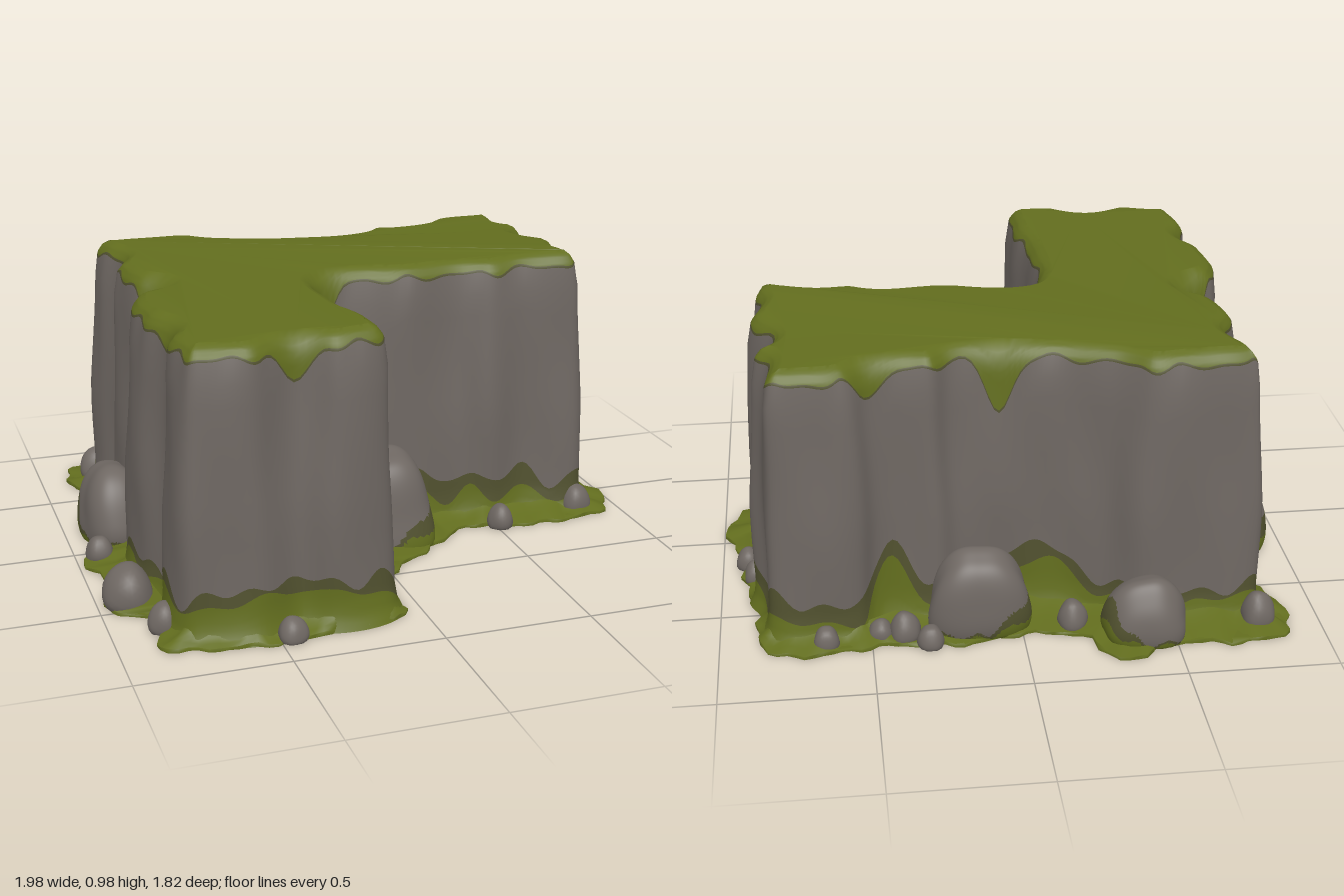
import * as THREE from 'three';
import { mergeVertices } from 'three/addons/utils/BufferGeometryUtils.js';

const rock = new THREE.MeshStandardMaterial({ name: 'rock grey', color: 0x6e6762 });
const grass = new THREE.MeshStandardMaterial({ name: 'grass green', color: 0x626d1e });
const moss = new THREE.MeshStandardMaterial({ name: 'dark moss', color: 0x51512f });
const PALETTE = [rock, grass, moss];

// Plan outlines as x, z pairs, clockwise seen from above
const CLIFF = [-.79, -.67, -.6, -.69, -.4, -.70, -.28, -.62, -.15, -.57, .05, -.54, .2, -.55, .27, -.60, .38, -.59,
  .47, -.61, .53, -.67, .66, -.69, .82, -.66, .84, -.5, .88, -.41, .82, -.31, .89, -.15, .86, -.02, .88, .07, .84, .15,
  .62, .13, .5, .15, .38, .11, .2, .12, .04, .09, -.09, .09, -.12, .16, -.12, .35, -.11, .42, -.08, .6, -.10, .78,
  -.15, .82, -.3, .84, -.42, .79, -.56, .84, -.68, .82, -.78, .79, -.81, .6, -.77, .48, -.83, .35, -.84, .18,
  -.79, .05, -.67, -.02, -.75, -.1, -.79, -.3, -.74, -.42, -.79, -.55];
const SKIRT = [-.88, -.80, -.72, -.85, -.5, -.83, -.3, -.91, -.2, -.76, -.02, -.72, .2, -.76, .45, -.74, .6, -.76,
  .78, -.77, .87, -.68, .87, -.5, .92, -.3, .93, -.1, .99, .02, .94, .2, .75, .25, .55, .24, .4, .2, .2, .34, .0, .5,
  -.05, .65, -.08, .82, -.3, .85, -.5, .88, -.7, .86, -.87, .80, -.84, .6, -.98, .47, -.91, .3, -.98, .1, -.9, -.04,
  -.87, -.2, -.8, -.45, -.88, -.6];

// Grass hanging from the rim and moss climbing the foot: x, z, amount, width
const HANGS = [[-.1, .1, .22, .035], [-.42, .79, .1, .035], [-.67, -.02, .25, .05], [-.77, .48, .06, .04],
  [.06, -.54, .18, .04], [.47, -.61, .07, .04]];
const CLIMBS = [[-.11, .4, .18, .05], [-.09, .09, .2, .05], [.24, .12, .03, .05], [.43, .13, .07, .04],
  [.84, -.27, .1, .03], [-.42, .79, .04, .05], [-.67, -.02, .2, .05], [-.76, -.42, .08, .06],
  [.42, -.6, .15, .05], [-.1, -.56, .15, .07]];
const LIFTS = [[-.15, .72, .018, .2], [.82, .05, .018, .15], [-.65, -.55, .01, .2]];

const bumps = (list, x, z) => list.reduce((sum, [bx, bz, amount, width]) =>
  sum + amount * Math.exp(-((x - bx) ** 2 + (z - bz) ** 2) / (2 * width * width)), 0);
const wave = (s, n, phase = 0) => Math.sin(s * Math.PI * 2 * n + phase);
const { smoothstep, lerp } = THREE.MathUtils;

function outline(flat, count) {
  const pts = [];
  for (let i = 0; i < flat.length; i += 2) pts.push(new THREE.Vector3(flat[i], 0, flat[i + 1]));
  return new THREE.CatmullRomCurve3(pts, true, 'centripetal').getSpacedPoints(count).slice(0, count);
}

// Outward horizontal normals, smoothed over a few neighbours
function outward(pts, span) {
  const n = pts.length;
  return pts.map((_, i) => {
    const t = pts[(i + span) % n].clone().sub(pts[(i - span + n) % n]).normalize();
    return new THREE.Vector3(t.z, 0, -t.x);
  });
}

// Triangles closing a ring, facing up or down
function capIndices(ring, offset, up) {
  const flat = ring.map(p => new THREE.Vector2(p.x, p.z));
  return THREE.ShapeUtils.triangulateShape(flat, []).flatMap(([a, b, c]) => {
    const area = (flat[b].y - flat[a].y) * (flat[c].x - flat[a].x) - (flat[b].x - flat[a].x) * (flat[c].y - flat[a].y);
    return (area > 0) === up ? [a + offset, b + offset, c + offset] : [a + offset, c + offset, b + offset];
  });
}

// Skin over stacked rings with a palette index per band; caps take a palette index or null
function loft(rings, bands, topColour = null, bottomColour = null) {
  const n = rings[0].length, index = [], geo = new THREE.BufferGeometry();
  const positions = rings.flat().flatMap(p => [p.x, p.y, p.z]);
  bands.forEach((m, j) => {
    const start = index.length;
    for (let i = 0; i < n; i++) {
      const a = j * n + i, b = j * n + (i + 1) % n;
      index.push(a, a + n, b, b, a + n, b + n);
    }
    geo.addGroup(start, index.length - start, m);
  });
  const close = (ring, offset, up, m) => {
    const tris = capIndices(ring, offset, up);
    geo.addGroup(index.length, tris.length, m);
    index.push(...tris);
  };
  if (topColour !== null) close(rings.at(-1), (rings.length - 1) * n, true, topColour);
  if (bottomColour !== null) {
    const offset = positions.length / 3;
    positions.push(...rings[0].flatMap(p => [p.x, p.y, p.z]));
    close(rings[0], offset, false, bottomColour);
  }
  geo.setAttribute('position', new THREE.Float32BufferAttribute(positions, 3));
  geo.setIndex(index);
  geo.computeVertexNormals();
  return geo;
}

// How far the wall leans inward at each height
const PROFILE = [[0, -.03], [.04, -.01], [.1, 0], [.4, .003], [.55, .012], [.88, .03], [.92, .044], [.945, .064], [.958, .09]];
function inset(y) {
  for (let k = 1; k < PROFILE.length; k++) {
    const [y0, d0] = PROFILE[k - 1], [y1, d1] = PROFILE[k];
    if (y <= y1) return d0 + (d1 - d0) * (y - y0) / (y1 - y0);
  }
  return PROFILE.at(-1)[1];
}

function cliffGeometry(pts) {
  const n = pts.length, normals = outward(pts, 4);
  // Steps of each colour band: green foot, dark moss, rock, moss fringe, green cap
  const steps = [5, 3, 10, 1, 7], colours = [1, 2, 0, 2, 1];
  const rings = [], bands = [];
  const levels = pts.map((p, i) => {
    const s = i / n;
    const lush = smoothstep(p.z, .4, .7) * (1 - smoothstep(p.x, -.3, -.12));
    const foot = Math.max(.04, .075 + .05 * lush + .022 * wave(s, 17) + .018 * wave(s, 31, 1) + bumps(CLIMBS, p.x, p.z));
    const dark = foot + .035 + .035 * smoothstep(p.x, -.3, 0) + .016 * wave(s, 23, 2) + .014 * wave(s, 43, 1);
    const rim = .918 + .008 * wave(s, 29) + .006 * wave(s, 47, 1) - bumps(HANGS, p.x, p.z);
    return [0, foot, dark, rim - .008, rim, .958];
  });
  steps.forEach((count, band) => {
    for (let k = band ? 1 : 0; k <= count; k++) {
      rings.push(pts.map((p, i) => {
        const s = i / n, y = lerp(levels[i][band], levels[i][band + 1], k / count);
        const rough = .005 * wave(s, 13, y * 6) + .002 * wave(s, 29, -y * 9);
        const q = p.clone().addScaledVector(normals[i], rough - inset(y));
        q.y = y + bumps(LIFTS, p.x, p.z) * smoothstep(y, .7, .958);
        return q;
      }));
      if (k) bands.push(colours[band]);
    }
  });
  return loft(rings, bands, 1);
}

// Ragged ground slab and the turf rising from its edge to the foot of the wall
function groundGeometries(wall) {
  const pts = outline(SKIRT, 220), normals = outward(pts, 3), n = pts.length;
  const rim = pts.map((p, i) => p.clone().addScaledVector(normals[i], .009 * wave(i / n, 41) + .006 * wave(i / n, 67, 1)));
  const near = rim.map(p => wall.reduce((best, w) => w.distanceToSquared(p) < best.distanceToSquared(p) ? w : best));
  const ring = (t, height, rough) => rim.map((p, i) => {
    const q = p.clone().lerp(near[i], t);
    q.y = height + rough * (wave(i / n, 29) + wave(i / n, 53, 2));
    return q;
  });
  const edge = ring(0, .012, .002);
  return {
    groundSlab: loft([ring(0, 0, 0), edge], [1], 1, 2),
    grassSkirt: loft([edge, ring(.35, .022, .005), ring(.7, .032, .006), ring(1, .05, .004)], [1, 1, 1]),
  };
}

// Blocky rounded stone, squared off by a power rule; mossAngle is the side where moss climbs
function boulder(name, x, z, rx, rz, height, square, seed, mossAngle = null) {
  let geo = new THREE.IcosahedronGeometry(1, mossAngle === null ? 4 : 18);
  geo.deleteAttribute('normal');
  geo.deleteAttribute('uv');
  geo = mergeVertices(geo, 1e-4);
  const pos = geo.attributes.position, v = new THREE.Vector3();
  for (let i = 0; i < pos.count; i++) {
    v.fromBufferAttribute(pos, i);
    const r = (Math.abs(v.x) ** square + Math.abs(v.y) ** square + Math.abs(v.z) ** square) ** (-1 / square);
    const lump = 1 + .03 * Math.sin(v.x * 4 + seed) + .03 * Math.sin(v.z * 5 + v.y * 3 + seed * 2);
    v.multiplyScalar(r * lump);
    const taper = 1 - .2 * v.y;
    pos.setXYZ(i, v.x * rx * taper, Math.max(.004, (v.y * .6 + .4) * height), v.z * rz * taper);
  }
  geo.computeVertexNormals();
  const mesh = new THREE.Mesh(geo, rock);
  if (mossAngle !== null) {
    // Sort the faces into rock, grass and moss
    const sorted = [[], [], []], old = geo.index.array;
    for (let i = 0; i < old.length; i += 3) {
      const face = [old[i], old[i + 1], old[i + 2]];
      v.set(0, 0, 0);
      face.forEach(k => v.add(new THREE.Vector3().fromBufferAttribute(pos, k)));
      v.divideScalar(3);
      const angle = Math.atan2(v.z, v.x);
      const side = Math.max(0, Math.cos(angle - mossAngle)) ** 2;
      const foot = .015 + .06 * side + .012 * Math.sin(angle * 7 + seed);
      const dark = foot + .01 + .07 * side;
      sorted[v.y < foot ? 1 : v.y < dark ? 2 : 0].push(...face);
    }
    geo.setIndex(sorted.flat());
    let start = 0;
    sorted.forEach((faces, m) => {
      geo.addGroup(start, faces.length, m);
      start += faces.length;
    });
    mesh.material = PALETTE;
  }
  mesh.name = name;
  mesh.position.set(x, 0, z);
  return mesh;
}

export function createModel() {
  const model = new THREE.Group();
  model.name = 'cornerCliff';
  const add = (name, geometry) => {
    const mesh = new THREE.Mesh(geometry, PALETTE);
    mesh.name = name;
    model.add(mesh);
  };
  const wall = outline(CLIFF, 400);
  add('cliffWallAndGrassTop', cliffGeometry(wall));
  Object.entries(groundGeometries(wall)).forEach(([name, geometry]) => add(name, geometry));

  // Large boulders: x, z, half widths, height, squareness, seed, moss side
  const boulders = new THREE.Group();
  boulders.name = 'boulders';
  [[.055, .18, .175, .145, .325, 3.6, 0, .2], [-.83, -.16, .115, .16, .26, 2.8, 1.7, -2.2],
    [-.4, -.76, .135, .1, .22, 2.4, 3.4, 0], [.14, -.65, .16, .105, .3, 2.4, 5.1, 3.1], [-.9, .44, .08, .09, .14, 2.3, 6.8]]
    .forEach((b, i) => boulders.add(boulder('boulder' + (i + 1), ...b)));

  // Small stones: x, z, radius, height
  const stones = new THREE.Group();
  stones.name = 'stones';
  [[-.79, -.73, .055, .12], [-.83, -.36, .042, .09], [-.92, .06, .045, .09], [-.83, .67, .05, .1], [-.46, .86, .048, .08],
    [0, .36, .042, .08], [.51, .23, .046, .09], [.84, .16, .052, .1], [.88, -.27, .042, .08], [.91, -.18, .042, .08],
    [.31, -.75, .042, .08], [.39, -.69, .05, .1], [.47, -.68, .04, .07], [.65, -.72, .04, .08], [-.17, -.68, .05, .1]]
    .forEach(([x, z, r, h], i) => stones.add(boulder('stone' + (i + 1), x, z, r, r, h, 2.2, i * 2.3)));

  model.add(boulders, stones);
  return model;
}
